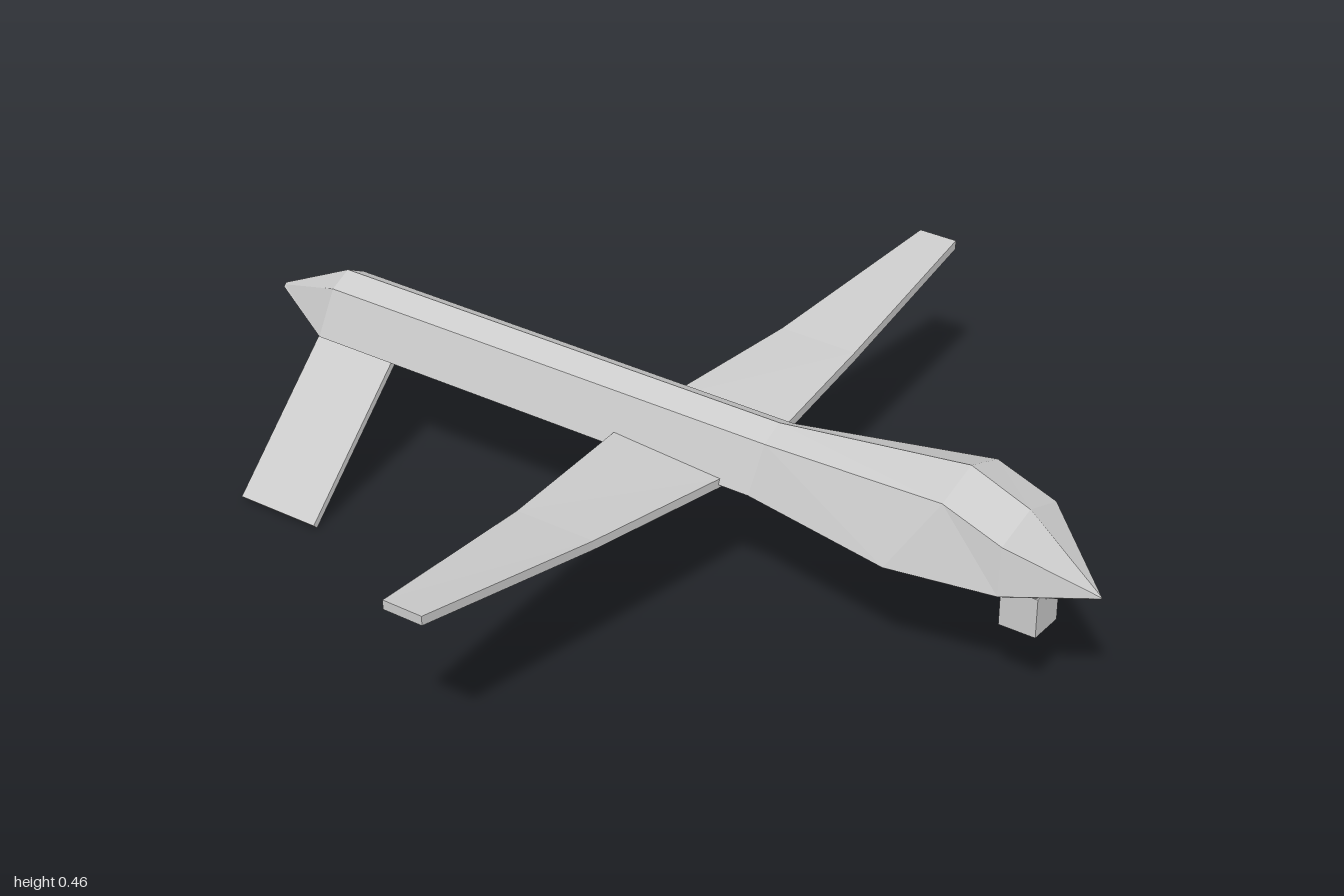
import * as THREE from 'three';

const material = new THREE.MeshStandardMaterial({ color: 0xcccccc, flatShading: true });

// Skin closed rings of equal point count; each ring runs counter-clockwise about the travel direction
function loft(rings) {
  const n = rings[0].length, pos = [];
  const tri = (a, b, c) => pos.push(...a, ...b, ...c);
  for (let i = 0; i < rings.length - 1; i++) {
    const r = rings[i], s = rings[i + 1];
    for (let j = 0; j < n; j++) {
      const k = (j + 1) % n;
      tri(r[j], r[k], s[k]);
      tri(r[j], s[k], s[j]);
    }
  }
  const first = rings[0], last = rings[rings.length - 1];
  for (let j = 1; j < n - 1; j++) {
    tri(first[0], first[j + 1], first[j]);
    tri(last[0], last[j], last[j + 1]);
  }
  const g = new THREE.BufferGeometry();
  g.setAttribute('position', new THREE.Float32BufferAttribute(pos, 3));
  g.computeVertexNormals();
  return g;
}

export function createModel() {
  const model = new THREE.Group();
  const add = (name, geometry) => {
    const mesh = new THREE.Mesh(geometry, material);
    mesh.name = name;
    model.add(mesh);
    return mesh;
  };

  // Six-sided fuselage: side edge, shoulder, ridge and keel at each station, tail to nose
  const stations = [
    // z, side z, side x, side y, shoulder x, shoulder y, ridge y, keel y
    [-1.0, -1.0, 0.008, 0.312, 0.005, 0.317, 0.32, 0.305],
    [-0.82, -0.83, 0.09, 0.28, 0.05, 0.38, 0.405, 0.25],
    [0.28, 0.27, 0.09, 0.28, 0.05, 0.38, 0.405, 0.25],
    [0.71, 0.62, 0.155, 0.28, 0.1, 0.425, 0.46, 0.205],
    [0.84, 0.845, 0.115, 0.28, 0.1, 0.378, 0.41, 0.213],
    [1.0, 1.0, 0.002, 0.275, 0.001, 0.277, 0.278, 0.273],
  ];
  add('fuselage', loft(stations.map(([z, zs, x, y, xs, ys, top, keel]) => [
    [x, y, zs], [xs, ys, z], [0, top, z], [-xs, ys, z], [-x, y, zs], [0, keel, z],
  ])));

  // Tapered wings that curve upward to the tips
  const wing = [
    // x, trailing z, leading z, trailing y, leading y
    [0.03, -0.065, 0.205, 0.284, 0.269],
    [0.09, -0.06, 0.2, 0.285, 0.272],
    [0.45, -0.015, 0.166, 0.303, 0.302],
    [0.905, 0.04, 0.13, 0.364, 0.364],
  ];
  const wingRing = (side) => ([x, zt, zl, yt, yl]) => [
    [side * x, yt + 0.02, zt], [side * x, yl + 0.02, zl],
    [side * x, yl, zl], [side * x, yt, zt],
  ];
  add('leftWing', loft(wing.map(wingRing(1))));
  add('rightWing', loft(wing.map(wingRing(-1)).reverse()));

  // Tail fins splayed downward at 45 degrees
  for (const side of [1, -1]) {
    const fin = add(side > 0 ? 'leftTailFin' : 'rightTailFin', new THREE.BoxGeometry(0.4, 0.014, 0.2));
    fin.position.set(side * 0.2036, 0.1464, -0.738);
    fin.rotation.z = -side * Math.PI / 4;
  }

  // Sensor turret under the nose
  add('sensorTurret', new THREE.BoxGeometry(0.08, 0.085, 0.08)).position.set(0, 0.2075, 0.85);

  return model;
}
